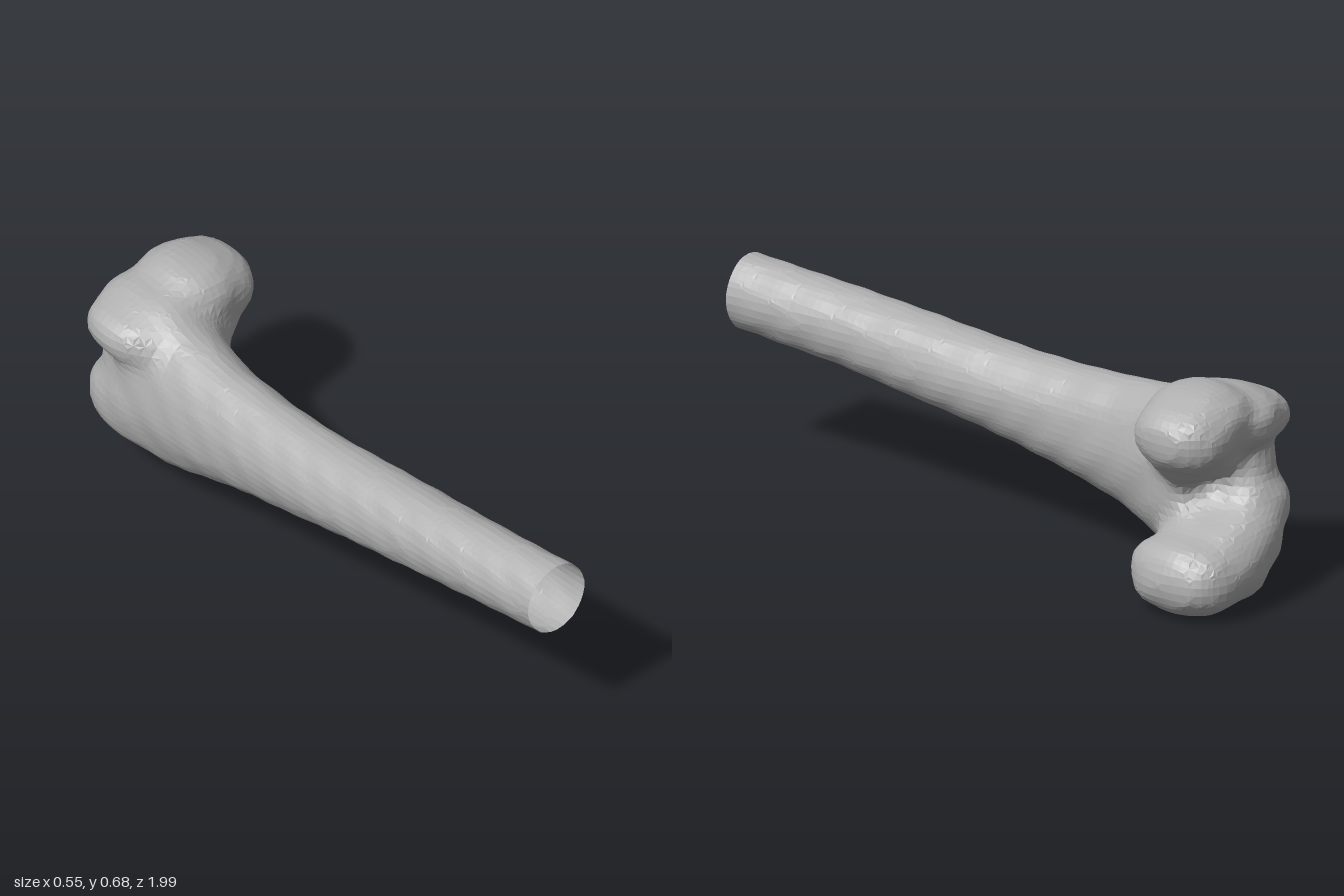
import * as THREE from 'three';

const bone = new THREE.MeshStandardMaterial({ color: 0xb0b0b0, flatShading: true, side: THREE.DoubleSide });
bone.name = 'bone grey';

// Shaft stations: z, then the x and y extents of the oval section
const SHAFT = [
  [1.02, -0.12, 0.093, 0.405, 0.64],
  [0.6, -0.165, 0.065, 0.365, 0.605],
  [0.2, -0.2, 0.045, 0.305, 0.573],
  [0, -0.215, 0.035, 0.27, 0.558],
  [-0.2, -0.225, 0.03, 0.23, 0.555],
  [-0.4, -0.235, 0.035, 0.175, 0.565],
  [-0.5, -0.24, 0.05, 0.14, 0.577],
  [-0.6, -0.243, 0.08, 0.1, 0.595],
  [-0.75, -0.243, 0.1, 0.1, 0.615],
];

// Rounded lobes of the joint: centre, then radii
const LOBES = [
  // lower condyle, back to front
  [0.135, 0.127, -0.81, 0.138, 0.117, 0.178],
  [0.03, 0.15, -0.82, 0.14, 0.135, 0.17],
  [-0.05, 0.205, -0.815, 0.13, 0.13, 0.163],
  [-0.12, 0.275, -0.785, 0.13, 0.125, 0.16],
  // upper condyle, back to front, with its sloping underside
  [0.13, 0.555, -0.795, 0.13, 0.11, 0.15],
  [0.06, 0.49, -0.77, 0.125, 0.105, 0.14],
  [0.05, 0.58, -0.785, 0.13, 0.112, 0.155],
  [-0.07, 0.555, -0.785, 0.13, 0.095, 0.16],
  [-0.155, 0.54, -0.775, 0.118, 0.077, 0.145],
  // bridge at the front of the joint
  [-0.12, 0.4, -0.75, 0.105, 0.16, 0.15],
];
const NOTCH = [0.19, 0.345, -0.92, 0.2, 0.065, 0.17];

function smoothMin(a, b, k) {
  const h = Math.max(k - Math.abs(a - b), 0) / k;
  return Math.min(a, b) - h * h * k / 4;
}
const smoothMax = (a, b, k) => -smoothMin(-a, -b, k);

// Approximate distance to an ellipsoid; a power above 2 makes it fuller
function ellipsoid(x, y, z, [cx, cy, cz, rx, ry, rz], power = 2) {
  const a = Math.abs(x - cx) / rx, b = Math.abs(y - cy) / ry, c = Math.abs(z - cz) / rz;
  const k = Math.max((a ** power + b ** power + c ** power) ** (1 / power), 1e-6);
  const q = power - 1;
  return (k - 1) / Math.max(Math.hypot((a / k) ** q / rx, (b / k) ** q / ry, (c / k) ** q / rz), 1e-6);
}

function shaft(x, y, z) {
  let i = 0;
  while (i < SHAFT.length - 2 && z < SHAFT[i + 1][0]) i++;
  const a = SHAFT[i], b = SHAFT[i + 1];
  const t = THREE.MathUtils.clamp((z - a[0]) / (b[0] - a[0]), 0, 1);
  const [x0, x1, y0, y1] = [1, 2, 3, 4].map((j) => a[j] + (b[j] - a[j]) * t);
  const oval = [(x0 + x1) / 2, (y0 + y1) / 2, 0, (x1 - x0) / 2, (y1 - y0) / 2, 1];
  return smoothMax(ellipsoid(x, y, 0, oval), -0.76 - z, 0.08);
}

function boneDistance(x, y, z) {
  let joint = 1;
  for (const lobe of LOBES) joint = smoothMin(joint, ellipsoid(x, y, z, lobe, 2.3), 0.03);
  const solid = smoothMin(shaft(x, y, z), joint, 0.06);
  const bumps = 0.0025 * Math.sin(31 * x + 17 * z) * Math.sin(37 * y + 23 * z);
  return smoothMax(solid, -ellipsoid(x, y, z, NOTCH), 0.04) + bumps;
}

// Skin a distance function with one vertex per crossed grid cell, open at z = 1
function skin(field) {
  const h = 0.025, n = [29, 35, 86], origin = [-0.35, -0.0751, 1.0125 - 85 * h];
  const step = [1, n[0], n[0] * n[1]];
  const values = new Float32Array(n[0] * n[1] * n[2]);
  const eachNode = (visit) => {
    for (let k = 0; k < n[2]; k++)
      for (let j = 0; j < n[1]; j++)
        for (let i = 0; i < n[0]; i++) visit(i, j, k, i + j * step[1] + k * step[2]);
  };
  eachNode((i, j, k, id) => {
    values[id] = field(origin[0] + i * h, origin[1] + j * h, origin[2] + k * h);
  });

  // Vertices: mean of the crossings on the cell's twelve edges
  const positions = [], cells = new Map();
  eachNode((i, j, k, id) => {
    if (i > n[0] - 2 || j > n[1] - 2 || k > n[2] - 2) return;
    const sum = [0, 0, 0];
    let count = 0;
    for (let c = 0; c < 8; c++) {
      const corner = [c & 1, (c >> 1) & 1, c >> 2];
      const p = id + corner[0] + corner[1] * step[1] + corner[2] * step[2];
      for (let axis = 0; axis < 3; axis++) {
        if (corner[axis]) continue;
        const a = values[p], b = values[p + step[axis]];
        if ((a < 0) === (b < 0)) continue;
        for (let m = 0; m < 3; m++) sum[m] += corner[m] + (m === axis ? a / (a - b) : 0);
        count++;
      }
    }
    if (!count) return;
    cells.set(id, positions.length / 3);
    const v = [i, j, k].map((g, m) => origin[m] + (g + sum[m] / count) * h);
    if (k === n[2] - 2) v[2] = 1;
    positions.push(...v);
  });

  // Faces: one quad around every crossed edge
  const index = [];
  eachNode((i, j, k, id) => {
    const node = [i, j, k];
    for (let axis = 0; axis < 3; axis++) {
      const u = (axis + 1) % 3, v = (axis + 2) % 3;
      if (node[axis] > n[axis] - 2 || !node[u] || !node[v]) continue;
      const inside = values[id] < 0;
      if (inside === (values[id + step[axis]] < 0)) continue;
      const quad = [id - step[u] - step[v], id - step[v], id, id - step[u]].map((c) => cells.get(c));
      if (quad.includes(undefined)) continue;
      if (!inside) quad.reverse();
      const [a, b, c, d] = quad;
      index.push(a, b, c, a, c, d);
    }
  });

  const geometry = new THREE.BufferGeometry();
  geometry.setAttribute('position', new THREE.Float32BufferAttribute(positions, 3));
  geometry.setIndex(index);
  geometry.computeVertexNormals();
  return geometry;
}

export function createModel() {
  const group = new THREE.Group();
  group.name = 'thighBone';

  // Hollow shaft flowing into the two condyles
  const mesh = new THREE.Mesh(skin(boneDistance), bone);
  mesh.name = 'shaftAndCondyles';
  group.add(mesh);
  return group;
}
